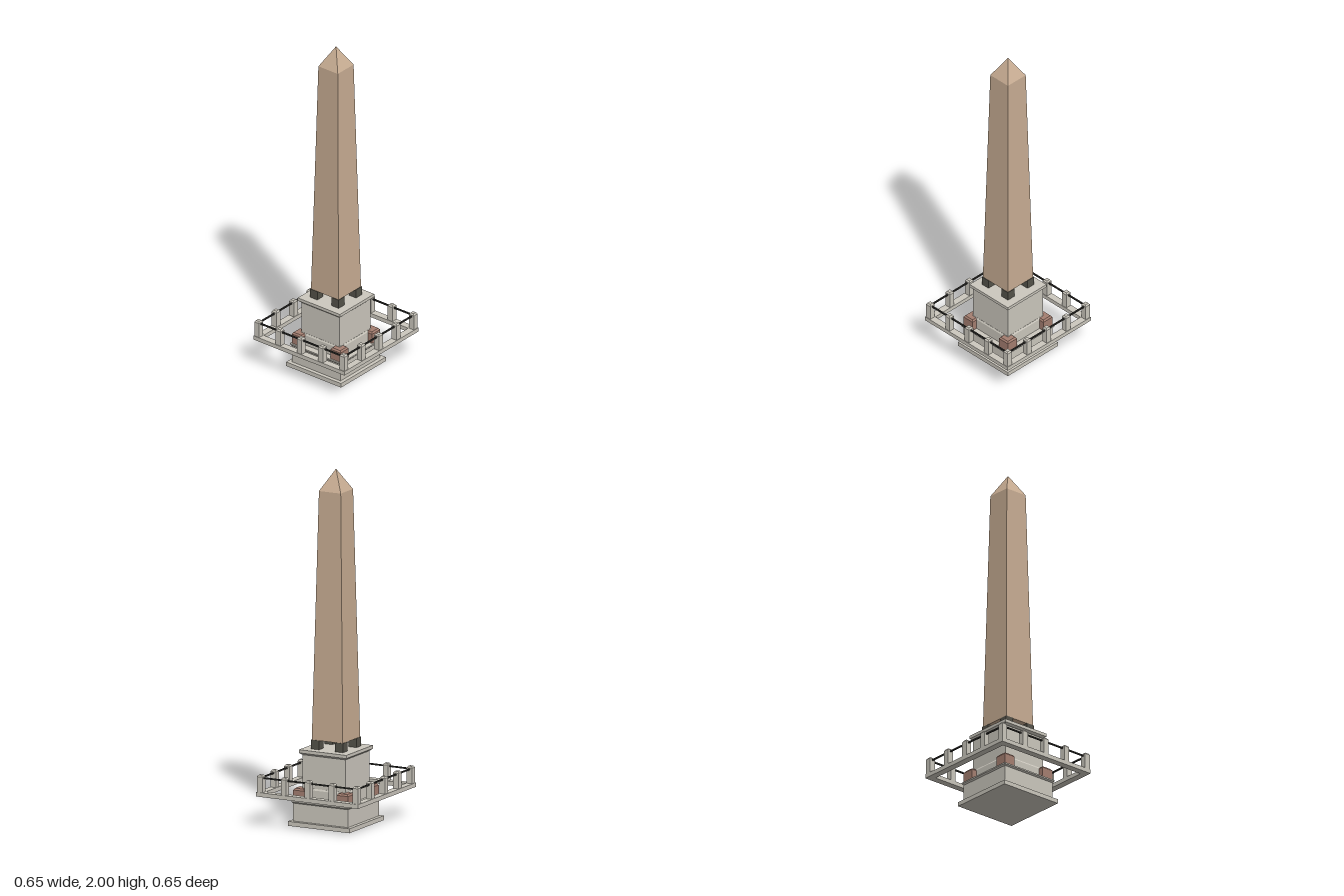
import * as THREE from 'three';

const material = (name, color) => {
  const m = new THREE.MeshStandardMaterial({ color });
  m.name = name;
  return m;
};

export function createModel() {
  const stone = material('pale stone', 0xccc8be);
  const granite = material('tan granite', 0xc8ad93);
  const redStone = material('red stone', 0xa57f71);
  const bronze = material('dark bronze', 0x55534a);
  const iron = material('black iron', 0x2e2d2a);
  const model = new THREE.Group();
  model.name = 'obelisk';

  // Square solid stacked from [half width, height] rings, closed at both ends
  function squareSolid(name, rings, mat, x = 0, z = 0, parent = model) {
    const profile = [[0, rings[0][1]], ...rings, [0, rings[rings.length - 1][1]]]
      .map(([half, y]) => new THREE.Vector2(half * Math.SQRT2, y));
    const geometry = new THREE.LatheGeometry(profile, 4, Math.PI / 4).toNonIndexed();
    geometry.computeVertexNormals();
    const mesh = new THREE.Mesh(geometry, mat);
    mesh.name = name;
    mesh.position.set(x, 0, z);
    parent.add(mesh);
    return mesh;
  }

  function box(name, w, h, d, x, y, z, mat, parent) {
    const mesh = new THREE.Mesh(new THREE.BoxGeometry(w, h, d), mat);
    mesh.name = name;
    mesh.position.set(x, y, z);
    parent.add(mesh);
  }

  // Stepped pedestal
  squareSolid('plinth', [[0.195, 0], [0.195, 0.025]], stone);
  squareSolid('lowerPedestal', [[0.173, 0.025], [0.173, 0.126]], stone);
  squareSolid('lowerCornice', [[0.173, 0.126], [0.181, 0.134], [0.181, 0.142]], stone);
  squareSolid('upperPedestalFoot', [[0.142, 0.142], [0.142, 0.203], [0.137, 0.212]], stone);
  squareSolid('upperPedestal', [[0.136, 0.212], [0.136, 0.397]], stone);
  squareSolid('upperCornice', [[0.138, 0.397], [0.15, 0.408], [0.15, 0.426]], stone);

  // Corner blocks on the lower pedestal and feet under the shaft
  for (const sx of [-1, 1]) {
    for (const sz of [-1, 1]) {
      squareSolid('cornerBlock', [[0.035, 0.142], [0.035, 0.2], [0.028, 0.21]],
        redStone, sx * 0.138, sz * 0.138);
      squareSolid('shaftFoot', [[0.025, 0.426], [0.025, 0.478]], bronze, sx * 0.076, sz * 0.076);
    }
  }

  // Tapering shaft and its pointed tip
  squareSolid('shaft', [[0.098, 0.477], [0.069, 1.88]], granite);
  squareSolid('shaftTip', [[0.069, 1.88], [0.0001, 2]], granite);

  // Railing: one side with kerb, posts and bar, turned four times
  const reach = 0.303;
  for (let i = 0; i < 4; i++) {
    const side = new THREE.Group();
    side.name = 'railingSide';
    side.rotation.y = i * Math.PI / 2;
    // Kerbs meet end to side around the ring without overlapping
    box('kerb', 0.606, 0.024, 0.04, -0.02, 0.188, reach, stone, side);
    box('railBar', 2 * reach, 0.008, 0.008, 0, 0.28, reach, iron, side);
    for (const x of [-reach, -reach / 2, 0, reach / 2]) {
      squareSolid('railPost', [[0.017, 0.2], [0.017, 0.288], [0.0105, 0.297]], stone, x, reach, side);
    }
    model.add(side);
  }
  return model;
}
